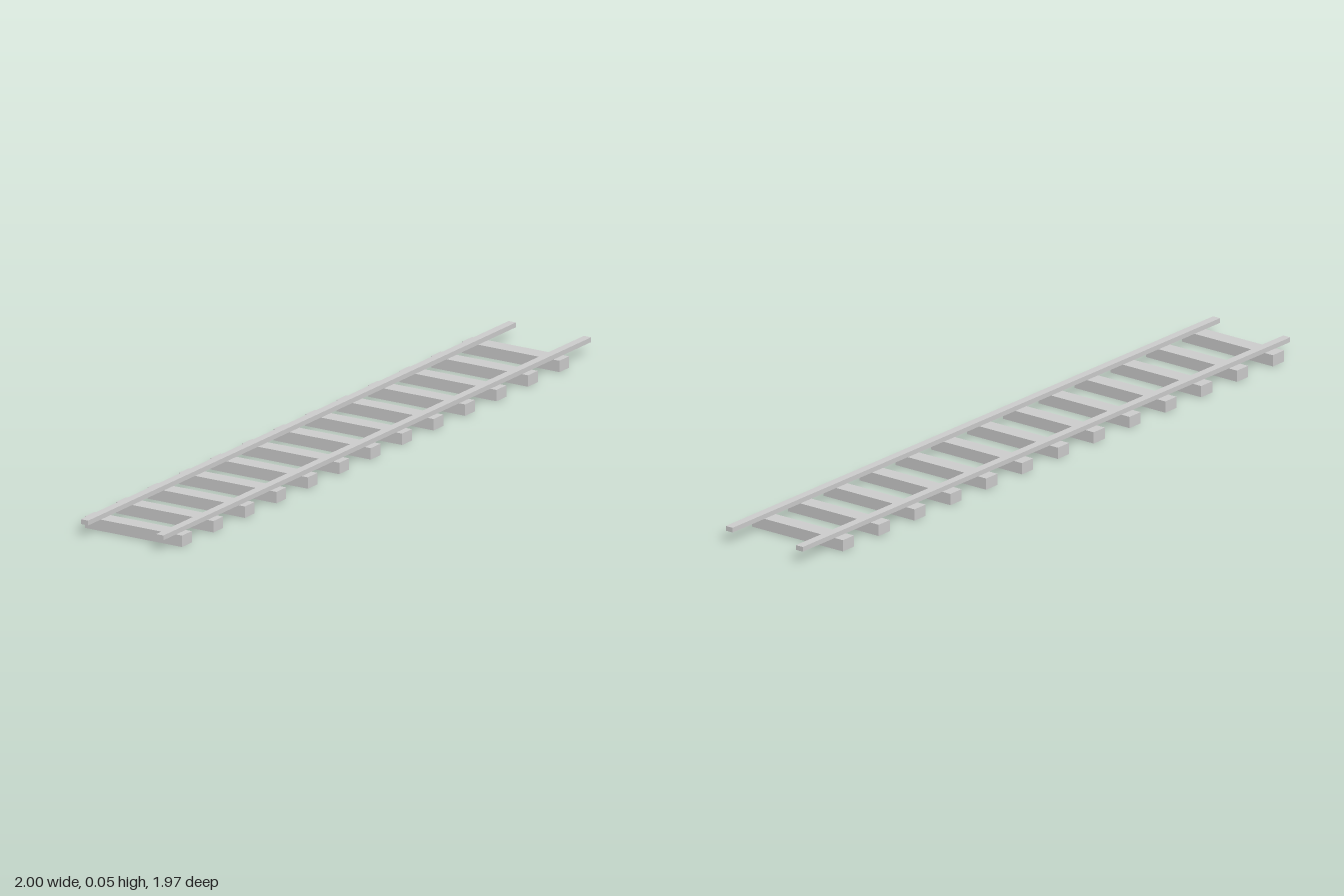
import * as THREE from 'three';

export function createModel() {
  const group = new THREE.Group();
  group.name = 'railwayTrack';
  const material = new THREE.MeshStandardMaterial({ color: 0xcccccc, flatShading: true });

  // The track is laid along local x, then turned diagonally.
  const track = new THREE.Group();
  track.name = 'trackSection';
  track.rotation.y = THREE.MathUtils.degToRad(44.4);
  group.add(track);

  function addBox(name, size, position) {
    const mesh = new THREE.Mesh(new THREE.BoxGeometry(...size), material);
    mesh.name = name;
    mesh.position.set(...position);
    track.add(mesh);
  }

  // Two parallel rails
  for (const side of [-1, 1]) {
    addBox(side < 0 ? 'backRail' : 'frontRail', [2.492, 0.016, 0.028], [0, 0.046, side * 0.143]);
  }

  // Evenly spaced sleepers under the rails
  const count = 13, first = -1.144, spacing = 0.1832;
  for (let i = 0; i < count; i++) {
    addBox(`sleeper${i + 1}`, [0.057, 0.038, 0.37], [first + i * spacing, 0.019, -0.005]);
  }

  return group;
}
